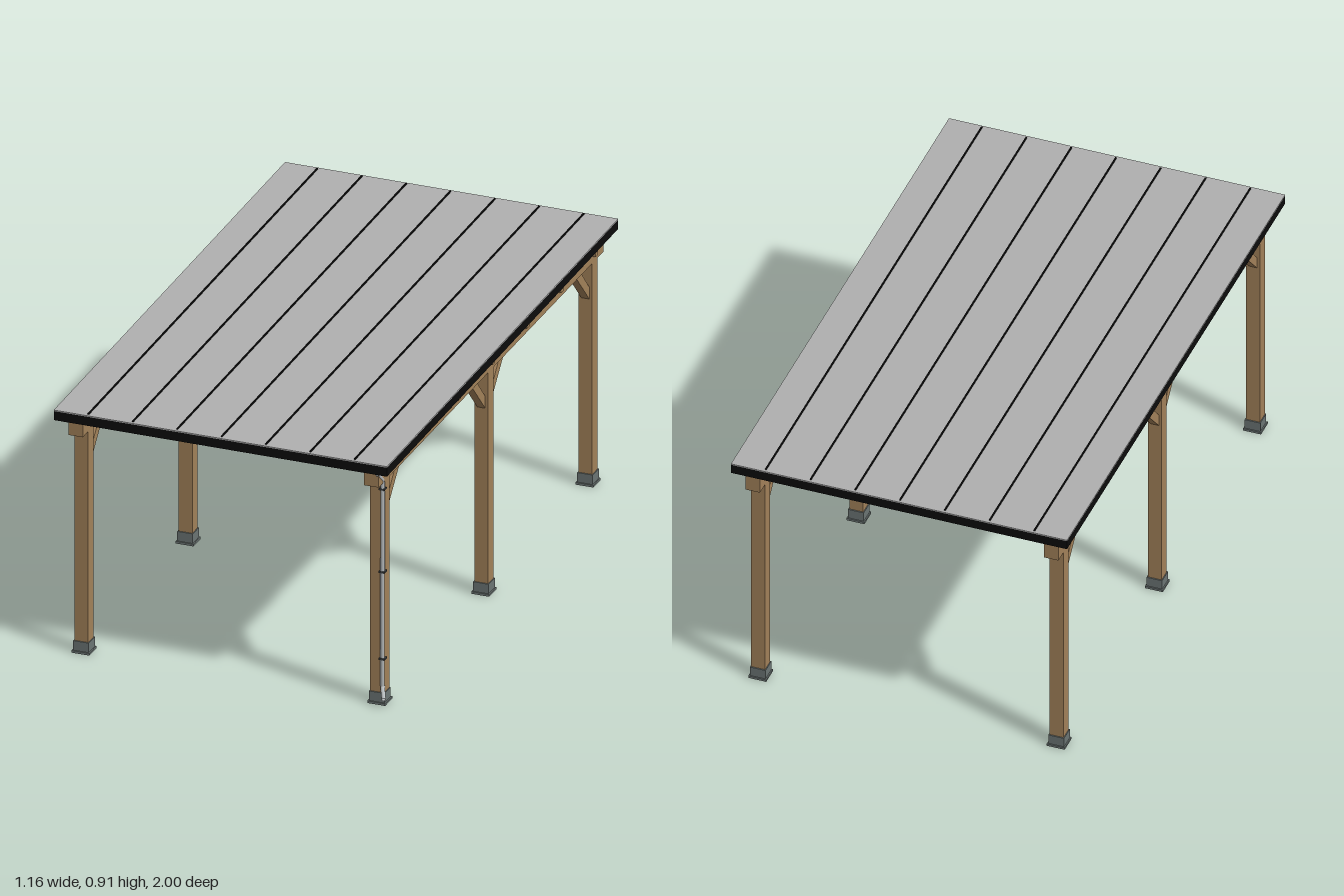
import * as THREE from 'three';

export function createModel() {
  const root = new THREE.Group();
  root.name = 'carport';

  const mat = (name, color, extra = {}) => {
    const m = new THREE.MeshStandardMaterial({ color, ...extra });
    m.name = name;
    return m;
  };
  const wood = mat('timber', 0xa3825a);
  const sheet = mat('roofSheet', 0xb0b0b0);
  const black = mat('blackTrim', 0x0c0c0c);
  const footing = mat('footingGrey', 0x6c7574);
  const metal = mat('gutterMetal', 0xb4b8ba, { side: THREE.DoubleSide });
  const clipGrey = mat('clipGrey', 0x3c4042);

  const add = (name, geo, material, parent = root, x = 0, y = 0, z = 0) => {
    const m = new THREE.Mesh(geo, material);
    m.name = name;
    m.position.set(x, y, z);
    parent.add(m);
    return m;
  };
  const box = (name, w, h, d, x, y, z, material, parent = root) =>
    add(name, new THREE.BoxGeometry(w, h, d), material, parent, x, y, z);

  const SIDE = 0.515;   // post line
  const BEAM_LOW = 0.795, BEAM_TOP = 0.855;
  const PITCH = 0.0095; // roof rise per unit toward the back

  // Diagonal brace outline, drawn in (distance from post, height)
  const braceShape = new THREE.Shape([
    [0.018, 0.66], [0.145, 0.797], [0.102, 0.797], [0.018, 0.702],
  ].map(([a, b]) => new THREE.Vector2(a, b)));
  const braceGeo = new THREE.ExtrudeGeometry(braceShape, { depth: 0.028, bevelEnabled: false });
  braceGeo.translate(0, 0, -0.014);

  for (const s of [-1, 1]) {
    const x = s * SIDE;
    box('sideBeam', 0.05, BEAM_TOP - BEAM_LOW, 1.945, x, (BEAM_LOW + BEAM_TOP) / 2, 0, wood);

    for (const z of [-0.9, 0, 0.9]) {
      // Post with its metal shoe
      box('post', 0.048, BEAM_LOW - 0.03, 0.046, x, (BEAM_LOW + 0.03) / 2, z, wood);
      box('postShoe', 0.054, 0.035, 0.054, x, 0.0245, z, footing);
      box('shoePlate', 0.062, 0.008, 0.062, x, 0.004, z, footing);

      // Braces lean toward the neighbouring posts
      for (const d of [-1, 1]) {
        if (z * d > 0) continue;
        add('brace', braceGeo, wood, root, x, 0, z).rotation.y = -d * Math.PI / 2;
      }
    }
  }

  // Cross rafters notched over the side beams
  for (let i = -3; i <= 3; i++) {
    const z = i * 0.2965;
    const top = 0.869 - PITCH * z;
    box('rafter', 1.1, top - 0.818, 0.022, 0, (top + 0.818) / 2, z, wood);
  }

  // Pitched roof
  const roof = new THREE.Group();
  roof.name = 'roof';
  roof.position.y = 0.898;
  roof.rotation.x = PITCH;
  root.add(roof);
  box('roofDeck', 1.14, 0.027, 1.98, 0, -0.0165, 0, sheet, roof);
  box('roofSheet', 1.16, 0.004, 2, 0, -0.002, 0, sheet, roof);
  for (const s of [-1, 1]) {
    box('sideFascia', 0.012, 0.032, 2, s * 0.574, -0.02, 0, black, roof);
    box('endFascia', 1.16, 0.032, 0.012, 0, -0.02, s * 0.994, black, roof);
  }
  for (let i = -3; i <= 3; i++)
    box('standingSeam', 0.005, 0.008, 1.98, i * 0.1545, 0, 0, black, roof);

  // Half-round gutter behind the front fascia
  const gutterGeo = new THREE.CylinderGeometry(0.009, 0.009, 1.12, 12, 1, true, Math.PI / 2, Math.PI);
  gutterGeo.rotateZ(Math.PI / 2);
  gutterGeo.rotateX(-Math.PI / 2);
  // Turn the trough so its opening faces the sky
  gutterGeo.computeBoundingBox();
  const bb = gutterGeo.boundingBox;
  if (bb.max.y > 0.005) gutterGeo.rotateX(bb.min.y < -0.005 ? (bb.max.z > 0.005 ? Math.PI / 2 : -Math.PI / 2) : Math.PI);
  add('gutter', gutterGeo, metal, root, 0, 0.862, 0.978);

  // Downpipe on the front left post, with a kicked-out foot
  const path = new THREE.CurvePath();
  const pts = [
    [0.535, 0.86, 0.98], [0.535, 0.835, 0.965], [0.535, 0.80, 0.926],
    [0.534, 0.065, 0.924], [0.553, 0.036, 0.96],
  ].map((p) => new THREE.Vector3(...p));
  for (let i = 0; i < pts.length - 1; i++) path.add(new THREE.LineCurve3(pts[i], pts[i + 1]));
  add('downpipe', new THREE.TubeGeometry(path, 80, 0.0075, 10, false), metal);
  for (const y of [0.165, 0.475, 0.77])
    box('pipeClip', 0.02, 0.006, 0.02, 0.535, y, 0.924, clipGrey);

  return root;
}
